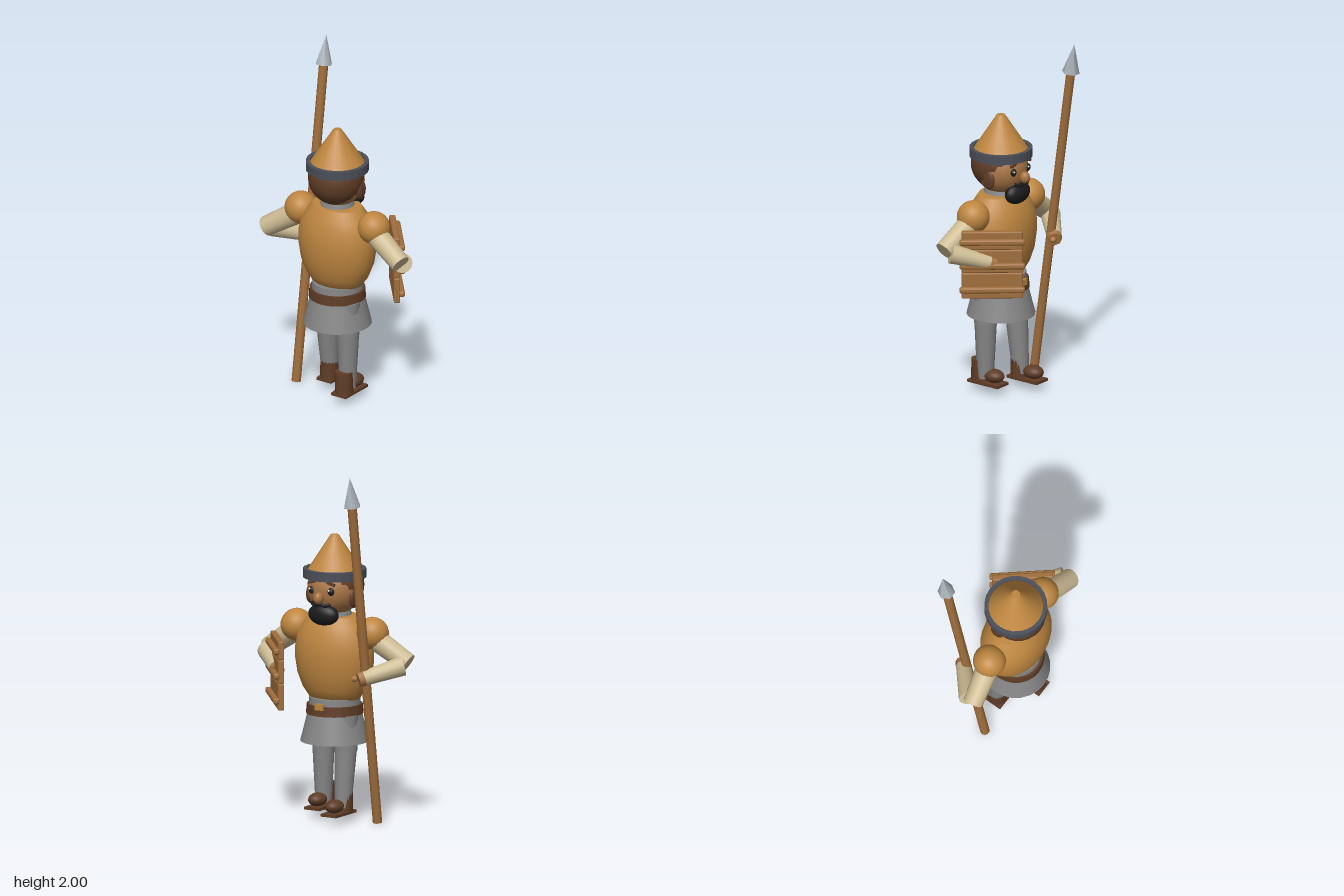
import * as THREE from 'three';
import { RoundedBoxGeometry } from 'three/addons/geometries/RoundedBoxGeometry.js';

const mat = (name, color) => {
  const m = new THREE.MeshStandardMaterial({ color });
  m.name = name;
  return m;
};

export function createModel() {
  const gold = mat('gold', 0xbe8640), skin = mat('skin', 0xa87545), brown = mat('brown', 0x5f3c26),
    black = mat('black', 0x1b1b1b), wood = mat('wood', 0xa06e3c), linen = mat('linen', 0xcdbc94),
    mail = mat('mail grey', 0x868686), iron = mat('dark iron', 0x4b4f58),
    steel = mat('steel', 0xaab2b9), white = mat('white', 0xf0f0f0);
  const root = new THREE.Group();
  root.name = 'guard';
  const CX = -0.065; // body axis; the figure looks along +x
  const V = (x, y, z) => new THREE.Vector3(x, y, z);

  const add = (name, geo, material, x = 0, y = 0, z = 0, parent = root) => {
    const m = new THREE.Mesh(geo, material);
    m.name = name;
    m.position.set(x, y, z);
    parent.add(m);
    return m;
  };
  const ball = (name, material, x, y, z, rx, ry = rx, rz = rx) => {
    const m = add(name, new THREE.SphereGeometry(1, 24, 16), material, x, y, z);
    m.scale.set(rx, ry, rz);
    return m;
  };
  // tapered cylinder between two points
  const rod = (name, material, a, b, ra, rb, sides = 16) => {
    const m = add(name, new THREE.CylinderGeometry(rb, ra, a.distanceTo(b), sides), material);
    m.position.copy(a).add(b).multiplyScalar(0.5);
    m.quaternion.setFromUnitVectors(V(0, 1, 0), b.clone().sub(a).normalize());
    return m;
  };
  const drum = (name, material, x, z, y0, y1, r0, r1, sides = 24) =>
    rod(name, material, V(x, y0, z), V(x, y1, z), r0, r1, sides);

  // helmet
  drum('helmetCone', gold, CX, 0, 1.4, 1.605, 0.157, 0.023);
  const ring = new THREE.Shape().absarc(0, 0, 0.176, 0, Math.PI * 2);
  ring.holes.push(new THREE.Path().absarc(0, 0, 0.153, 0, Math.PI * 2, true));
  const band = new THREE.ExtrudeGeometry(ring, { depth: 0.052, bevelEnabled: false, curveSegments: 12 });
  band.rotateX(-Math.PI / 2);
  add('helmetBand', band, iron, CX, 1.365, 0);

  // head and face
  ball('head', skin, -0.06, 1.3, 0, 0.15);
  ball('hair', brown, -0.08, 1.322, 0, 0.157);
  ball('nose', skin, 0.105, 1.27, 0, 0.03, 0.034, 0.027);
  ball('beard', black, 0.052, 1.17, 0, 0.05, 0.062, 0.095);
  for (const s of [1, -1]) {
    const side = s > 0 ? 'right' : 'left';
    ball(side + 'Ear', brown, -0.04, 1.262, s * 0.142, 0.04, 0.055, 0.018);
    ball(side + 'Eye', black, 0.074, 1.307, s * 0.063, 0.014, 0.022, 0.02);
    ball(side + 'EyeGlint', white, 0.086, 1.314, s * 0.063 + 0.007, 0.004, 0.006, 0.006);
    const brow = add(side + 'Brow', new THREE.BoxGeometry(0.016, 0.014, 0.05), brown, 0.074, 1.352, s * 0.062);
    brow.rotation.x = s * 0.25;
    const whisker = new THREE.CatmullRomCurve3([
      V(0.093, 1.236, 0), V(0.09, 1.228, s * 0.035), V(0.074, 1.236, s * 0.06)]);
    add(side + 'Moustache', new THREE.TubeGeometry(whisker, 10, 0.011, 8), black);
  }

  // body
  drum('collar', mail, CX, 0, 1.1, 1.18, 0.11, 0.09);
  const profile = [[0, 0.655], [0.1, 0.66], [0.15, 0.685], [0.19, 0.74], [0.222, 0.82], [0.235, 0.9],
    [0.235, 0.97], [0.222, 1.04], [0.19, 1.1], [0.153, 1.148], [0.147, 1.155], [0, 1.156]];
  const torso = add('breastplate',
    new THREE.LatheGeometry(profile.map(p => new THREE.Vector2(...p)), 28), gold, CX);
  torso.scale.x = 0.745;
  drum('waist', mail, CX, 0, 0.58, 0.69, 0.148, 0.142);
  drum('skirt', mail, CX, 0, 0.44, 0.62, 0.192, 0.147);
  drum('belt', brown, CX, 0, 0.597, 0.652, 0.16, 0.156);
  add('buckle', new THREE.BoxGeometry(0.02, 0.035, 0.05), gold, 0.094, 0.652, 0);

  // legs and shoes: the left foot steps ahead
  for (const [side, z, hip, ankle, toe] of [
    ['right', 0.095, -0.098, -0.1, -0.038], ['left', -0.095, -0.03, 0.0, 0.09]]) {
    rod(side + 'Thigh', mail, V(hip, 0.6, z), V(hip, 0.4, z), 0.068, 0.065);
    rod(side + 'Leg', mail, V(hip, 0.42, z), V(ankle, 0.08, z), 0.064, 0.047);
    drum(side + 'BootShaft', brown, toe - 0.098, z, 0.06, 0.185, 0.052, 0.05);
    add(side + 'Sole', new THREE.BoxGeometry(0.215, 0.016, 0.1), brown, toe - 0.045, 0.055, z);
    ball(side + 'Toe', brown, toe, 0.1, z, 0.062, 0.038, 0.05);
  }

  // arms with bent elbows
  for (const s of [1, -1]) {
    const side = s > 0 ? 'right' : 'left';
    const elbow = V(-0.068, 0.905, s * 0.445), wrist = V(0.085, 0.843, s * 0.288);
    const hand = wrist.clone().add(wrist.clone().sub(elbow).multiplyScalar(0.14));
    ball(side + 'Pauldron', gold, CX, 1.07, s * 0.248, 0.092);
    rod(side + 'UpperArm', linen, V(CX, 1.06, s * 0.23), V(-0.105, 0.915, s * 0.458), 0.066, 0.056);
    rod(side + 'Forearm', linen, elbow, wrist, 0.056, 0.042);
    rod(side + 'Hand', skin, wrist, hand, 0.043, 0.04, 8);
    ball(side + 'Thumb', skin, 0.113, 0.84, s * 0.242, 0.018);
  }

  // shield of planks, angled between front and side
  const shield = new THREE.Group();
  shield.name = 'shield';
  shield.position.set(0.093, 0, 0.278);
  shield.rotation.y = Math.atan2(0.64, 0.77);
  root.add(shield);
  for (const [y0, y1] of [[0.635, 0.785], [0.785, 0.92], [0.92, 1.027]])
    add('plank', new RoundedBoxGeometry(0.34, y1 - y0, 0.035, 2, 0.008), wood, 0, (y0 + y1) / 2, 0, shield);
  for (const y of [0.69, 0.83, 0.97])
    add('batten', new RoundedBoxGeometry(0.365, 0.034, 0.035, 2, 0.012), wood, 0, y, 0.027, shield);

  // spear leaning forward in the left hand
  const neck = V(0.205, 1.833, -0.284);
  rod('spearShaft', wood, V(-0.06, 0.004, -0.284), neck, 0.026, 0.026, 10);
  rod('spearHead', steel, neck, V(0.23, 2, -0.284), 0.05, 0.0005, 6);

  return root;
}
